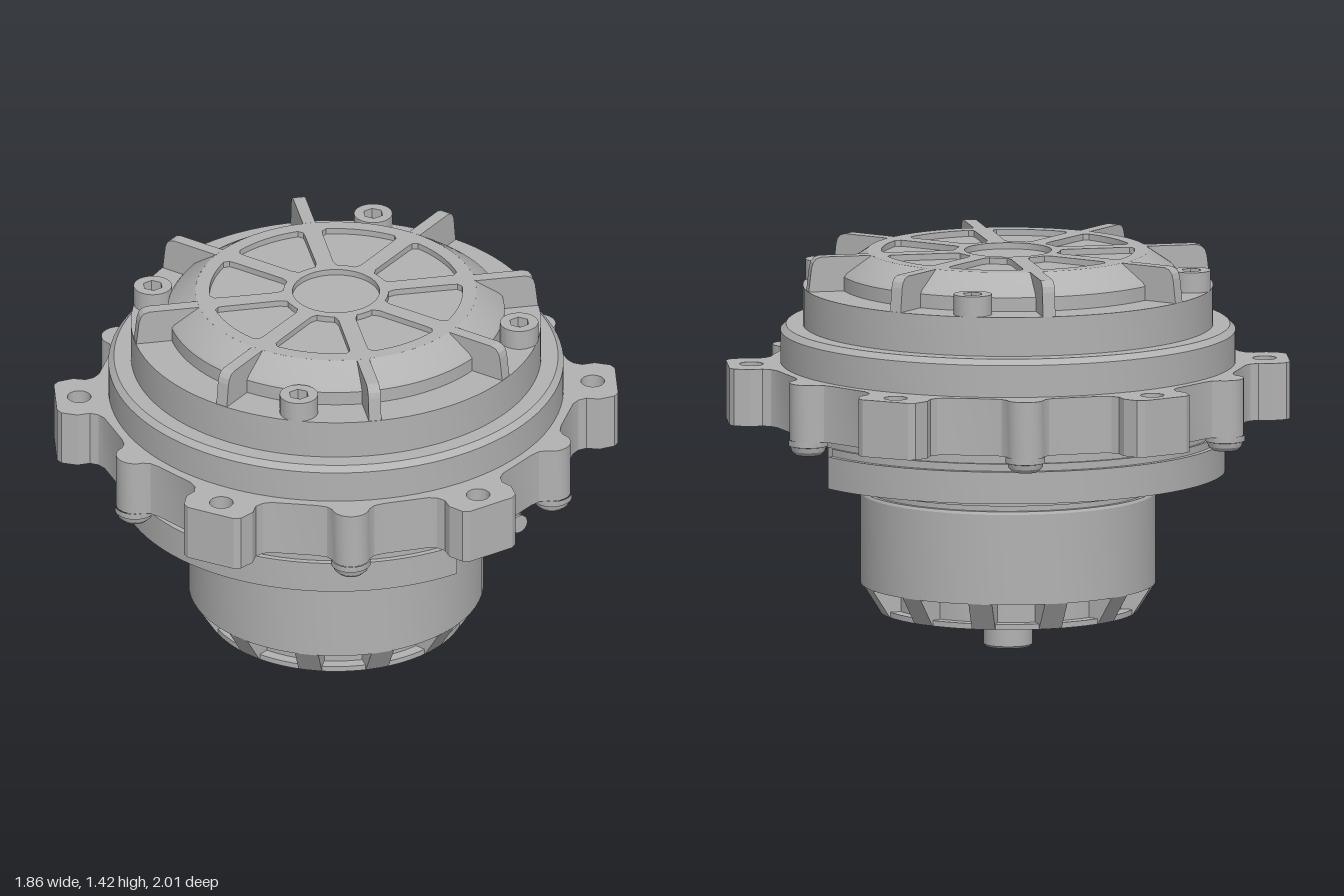
import * as THREE from 'three';
import { toCreasedNormals } from 'three/addons/utils/BufferGeometryUtils.js';

const RAD = Math.PI / 180;

export function createModel() {
  const model = new THREE.Group();
  model.name = 'gearedMotor';
  const metal = new THREE.MeshStandardMaterial({ color: 0xb2b2b2 });
  metal.name = 'grey metal';

  const add = (name, geometry, x = 0, y = 0, z = 0) => {
    const mesh = new THREE.Mesh(geometry, metal);
    mesh.name = name;
    mesh.position.set(x, y, z);
    model.add(mesh);
    return mesh;
  };
  // Turned part: profile of [radius, height] from the bottom up
  const lathe = (profile, segments = 72) => toCreasedNormals(
    new THREE.LatheGeometry(profile.map(p => new THREE.Vector2(...p)), segments), 0.45);
  // Plan shape (x, -z) raised from y0 to y1
  const slab = (shape, y0, y1) => {
    const g = new THREE.ExtrudeGeometry(shape, { depth: y1 - y0, bevelEnabled: false, curveSegments: 36 });
    return toCreasedNormals(g.rotateX(-Math.PI / 2).translate(0, y0, 0), 0.45);
  };
  // Upright radial plate from a [radius, height] section
  const radialPlate = (section, width, angle) => {
    const shape = new THREE.Shape(section.map(p => new THREE.Vector2(...p)));
    const g = new THREE.ExtrudeGeometry(shape, { depth: width, bevelEnabled: false });
    return g.translate(0, 0, -width / 2).rotateY(angle * RAD);
  };
  const polar = (r, deg) => [r * Math.cos(deg * RAD), r * Math.sin(deg * RAD)];
  const circle = (x, y, r) => new THREE.Path().absarc(x, y, r, 0, Math.PI * 2);

  // Output shaft
  add('shaft', lathe([[0, 0], [0.08, 0], [0.087, 0.008], [0.087, 0.17], [0, 0.17]], 40));

  // Motor can with vented bottom edge
  const endDisc = new THREE.Shape().absarc(0, 0, 0.46, 0, Math.PI * 2);
  [-1, 1].forEach(s => endDisc.holes.push(circle(...polar(0.19 * s, 40), 0.026)));
  add('motorEndPlate', slab(endDisc, 0.13, 0.15));
  add('motorCore', lathe([[0, 0.15], [0.42, 0.15], [0.42, 0.235]]));
  add('motorCan', lathe([[0.4, 0.23], [0.525, 0.23], [0.525, 0.555], [0.52, 0.565],
    [0.505, 0.565], [0.505, 0.585], [0.52, 0.585], [0.52, 0.605], [0.4, 0.605]]));
  for (let i = 0; i < 12; i++) {
    add('motorVentRib', radialPlate([[0.4, 0.131], [0.46, 0.131], [0.524, 0.231], [0.4, 0.231]], 0.085, 12.5 + i * 30));
  }

  // Rear cover: three quarters of a disc, with the front corner open
  const sector = r => {
    const a = Math.asin(0.03 / r);
    const s = new THREE.Shape();
    s.moveTo(-0.03, -0.03);
    s.lineTo(r * Math.cos(a), -0.03);
    s.absarc(0, 0, r, -a, 1.5 * Math.PI - a, false);
    s.closePath();
    return s;
  };
  const cover = sector(0.775);
  for (let i = 0; i < 5; i++) {
    const mid = 37 + i * 45, half = 11.5, ri = 0.59, ro = 0.69;
    const slot = new THREE.Path();
    slot.absarc(0, 0, ro, (mid - half) * RAD, (mid + half) * RAD, false);
    slot.absarc(...polar(0.64, mid + half), 0.05, (mid + half) * RAD, (mid + half + 180) * RAD, false);
    slot.absarc(0, 0, ri, (mid + half) * RAD, (mid - half) * RAD, true);
    slot.absarc(...polar(0.64, mid - half), 0.05, (mid - half + 180) * RAD, (mid - half + 360) * RAD, false);
    cover.holes.push(slot);
    cover.holes.push(circle(...polar(0.67, mid + 22.5), 0.035));
  }
  cover.holes.push(circle(...polar(0.67, 12), 0.035));
  add('rearCover', slab(cover, 0.635, 0.75));
  add('rearCoverNeck', slab(sector(0.755), 0.75, 0.776));
  add('rearCoverStep', slab(sector(0.56), 0.608, 0.635));
  add('rearCoverTop', lathe([[0, 0.775], [0.745, 0.775], [0.745, 0.825]]));
  add('rearHub', lathe([[0.3, 0.6], [0.47, 0.6], [0.47, 0.776]]));

  // Plugs in the open corner
  add('powerPlugBlock', new THREE.BoxGeometry(0.36, 0.1, 0.12), 0.17, 0.7, 0.43);
  for (let i = 0; i < 3; i++) {
    const pin = lathe([[0, 0], [0.045, 0], [0.045, 0.12], [0.03, 0.13], [0.03, 0.165], [0.038, 0.17],
      [0.038, 0.19], [0.03, 0.195], [0.03, 0.22], [0.034, 0.225], [0.034, 0.235], [0, 0.235]], 24);
    const mesh = add('powerPin', pin, 0.1 + i * 0.1, 0.7, 0.475);
    mesh.rotation.set(Math.PI / 2, 0, 0.04);
  }
  add('signalPlug', new THREE.BoxGeometry(0.2, 0.1, 0.25), 0.4, 0.695, 0.21);
  for (let i = 0; i < 6; i++) {
    add('signalPin', new THREE.BoxGeometry(0.02, 0.022, 0.018), 0.505, 0.668, 0.12 + i * 0.036);
  }
  add('signalKey', new THREE.BoxGeometry(0.02, 0.016, 0.1), 0.505, 0.722, 0.19);
  add('sidePlug', new THREE.BoxGeometry(0.12, 0.09, 0.08), 0.455, 0.695, 0.34);
  for (let i = 0; i < 3; i++) {
    add('sidePin', new THREE.BoxGeometry(0.018, 0.02, 0.02), 0.425 + i * 0.03, 0.675, 0.385);
  }

  // Mounting flange: six lugs alternating with six screw bosses
  const half = [[0.16, 0.835], [0.135, 0.855], [0.122, 0.885], [0.132, 0.93], [0.113, 0.985], [0.09, 1]];
  const lug = [...half.map(([t, r]) => [-t, r]), ...half.slice().reverse()];
  const boss = [[-0.12, 0.835], [-0.085, 0.848]];
  for (let i = 0; i <= 10; i++) {
    const a = (-80 + i * 16) * RAD;
    boss.push([0.068 * Math.sin(a), 0.857 + 0.068 * Math.cos(a)]);
  }
  boss.push([0.085, 0.848], [0.12, 0.835]);
  const outline = [];
  for (let k = 0; k < 6; k++) {
    [[lug, 27.5], [boss, 57.5]].forEach(([points, offset]) => {
      const c = Math.cos((offset + k * 60) * RAD), s = Math.sin((offset + k * 60) * RAD);
      points.forEach(([t, r]) => outline.push(new THREE.Vector2(r * c - t * s, r * s + t * c)));
    });
  }
  const flange = new THREE.Shape(outline);
  for (let k = 0; k < 6; k++) flange.holes.push(circle(...polar(0.915, 27.5 + k * 60), 0.042));
  add('mountingFlange', slab(flange, 0.82, 1.025));

  // Button head screws under the bosses
  const button = lathe([[0, 0.79], [0.03, 0.79], [0.03, 0.765], [0.045, 0.766], [0.06, 0.78],
    [0.064, 0.797], [0.071, 0.799], [0.071, 0.821]], 30);
  for (let k = 0; k < 6; k++) {
    const [x, y] = polar(0.858, 57.5 + k * 60);
    add('flangeScrew', button, x, 0, -y);
  }

  // Stepped upper housing and domed lid
  add('upperHousing', lathe([[0.81, 1.02], [0.81, 1.14], [0.79, 1.16], [0.73, 1.16],
    [0.73, 1.3], [0.58, 1.3]], 96));
  add('lidDome', lathe([[0.6, 1.3], [0.6, 1.35], [0.59, 1.363], [0.5, 1.425]], 96));
  add('lidPocketFloor', lathe([[0.498, 1.403], [0, 1.403]]));

  // Lid face with a round hub pocket and eight tapered pockets
  const face = new THREE.Shape().absarc(0, 0, 0.5, 0, Math.PI * 2);
  face.holes.push(circle(0, 0, 0.155));
  for (let k = 0; k < 8; k++) {
    const mid = 42.5 + k * 45;
    const pocket = new THREE.Path();
    pocket.absarc(0, 0, 0.45, (mid - 16) * RAD, (mid + 16) * RAD, false);
    pocket.lineTo(...polar(0.435, mid + 18));
    pocket.lineTo(...polar(0.41, mid + 18));
    pocket.lineTo(...polar(0.21, mid + 14));
    pocket.absarc(0, 0, 0.187, (mid + 10) * RAD, (mid - 10) * RAD, true);
    pocket.lineTo(...polar(0.21, mid - 14));
    pocket.lineTo(...polar(0.41, mid - 18));
    pocket.lineTo(...polar(0.435, mid - 18));
    pocket.closePath();
    face.holes.push(pocket);
  }
  add('lidFace', slab(face, 1.403, 1.425));

  // Radial lid ribs with rounded outer corners
  const rib = [[0.5, 1.3], [0.728, 1.3], [0.718, 1.385], [0.712, 1.405], [0.7, 1.419], [0.68, 1.425], [0.5, 1.425]];
  for (let k = 0; k < 8; k++) add('lidRib', radialPlate(rib, 0.045, 20 + k * 45));

  // Socket head screws on the lid
  const head = new THREE.Shape().absarc(0, 0, 0.068, 0, Math.PI * 2);
  head.holes.push(new THREE.Path(Array.from({ length: 6 }, (_, i) => new THREE.Vector2(...polar(0.036, i * 60)))));
  const headGeometry = slab(head, 1.3, 1.373);
  const socketFloor = lathe([[0.05, 1.335], [0, 1.335]], 24);
  for (let k = 0; k < 4; k++) {
    const [x, y] = polar(0.665, 42.5 + k * 90);
    add('lidScrew', headGeometry, x, 0, -y);
    add('lidScrewSocket', socketFloor, x, 0, -y);
  }
  return model;
}
